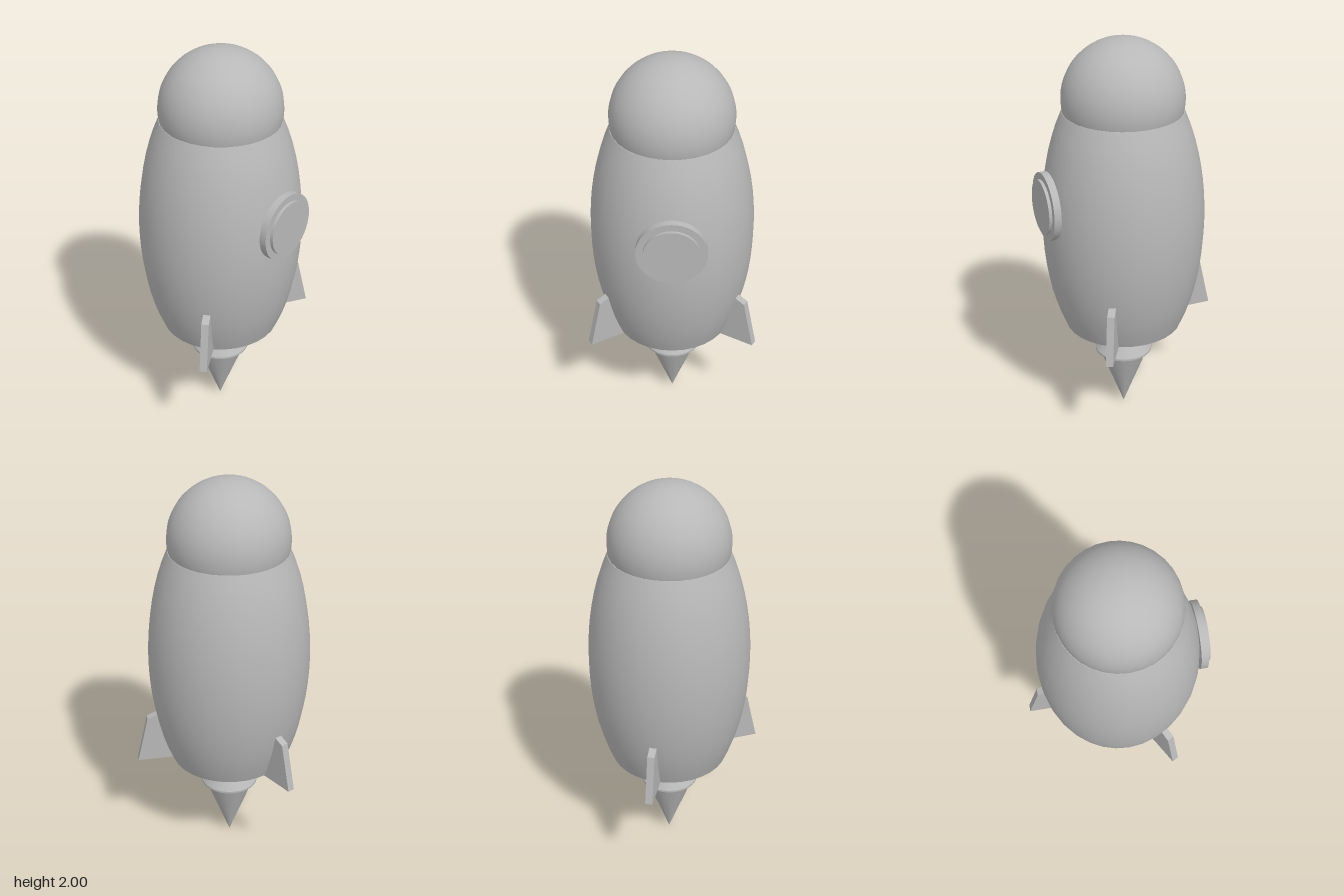
import * as THREE from 'three';
import { toCreasedNormals } from 'three/addons/utils/BufferGeometryUtils.js';

const AXIS_Z = 0.025; // the rocket's axis; the window and rear fin set the depth

export function createModel() {
  const rocket = new THREE.Group();
  rocket.name = 'rocket';
  const grey = new THREE.MeshStandardMaterial({ name: 'grey', color: 0xb8b8b8 });

  function add(name, geometry, z = AXIS_Z, y = 0) {
    const mesh = new THREE.Mesh(geometry, grey);
    mesh.name = name;
    mesh.position.set(0, y, z);
    rocket.add(mesh);
    return mesh;
  }

  // Turned part from [radius, height] pairs, listed bottom to top
  function turned(profile, sides = 32) {
    const points = profile.map(([r, y]) => new THREE.Vector2(r, y));
    return toCreasedNormals(new THREE.LatheGeometry(points, sides), 0.45);
  }

  // Hull: a barrel following an ellipse, closed at both ends
  const base = 0.515, top = 1.65, middle = 1.08, steps = 16;
  const hull = [[0, base]];
  for (let i = 0; i <= steps; i++) {
    const y = base + (top - base) * i / steps;
    hull.push([0.4 * Math.sqrt(1 - ((y - middle) / 0.835) ** 2), y]);
  }
  hull.push([0, top]);
  add('hull', turned(hull));

  // Nose dome: a sphere cut off where it meets the hull
  add('noseDome', new THREE.SphereGeometry(0.295, 32, 20, 0, Math.PI * 2, 0, 1.77), AXIS_Z, 1.705);

  // Round window: a thick rim and a slightly raised pane
  const disc = (radius, depth) =>
    new THREE.CylinderGeometry(radius, radius, depth, 48).rotateX(Math.PI / 2);
  add('windowRim', disc(0.167, 0.035), 0.4175, 1.215);
  add('windowPane', disc(0.133, 0.03), 0.435, 1.215);

  // Engine: neck, flared bell and the pointed flame
  add('engineNozzle', turned([[0, 0.335], [0.145, 0.335], [0.145, 0.345], [0.08, 0.44], [0.09, 0.52]]));
  add('flame', turned([[0, 0], [0.04, 0.107], [0.08, 0.213], [0.122, 0.326], [0, 0.34]]));

  // Three fins, one to the rear and one on each side towards the front
  const outline = new THREE.Shape([
    [0.27, base], [0.475, base], [0.42, 0.757], [0.37, 0.78], [0.33, 0.78],
  ].map(([r, y]) => new THREE.Vector2(r, y)));
  const finGeometry = new THREE.ExtrudeGeometry(outline, { depth: 0.036, bevelEnabled: false });
  finGeometry.translate(0, 0, -0.018);
  [['rearFin', 90], ['leftFin', -30], ['rightFin', 210]].forEach(([name, degrees]) => {
    add(name, finGeometry).rotation.y = THREE.MathUtils.degToRad(degrees);
  });

  return rocket;
}
